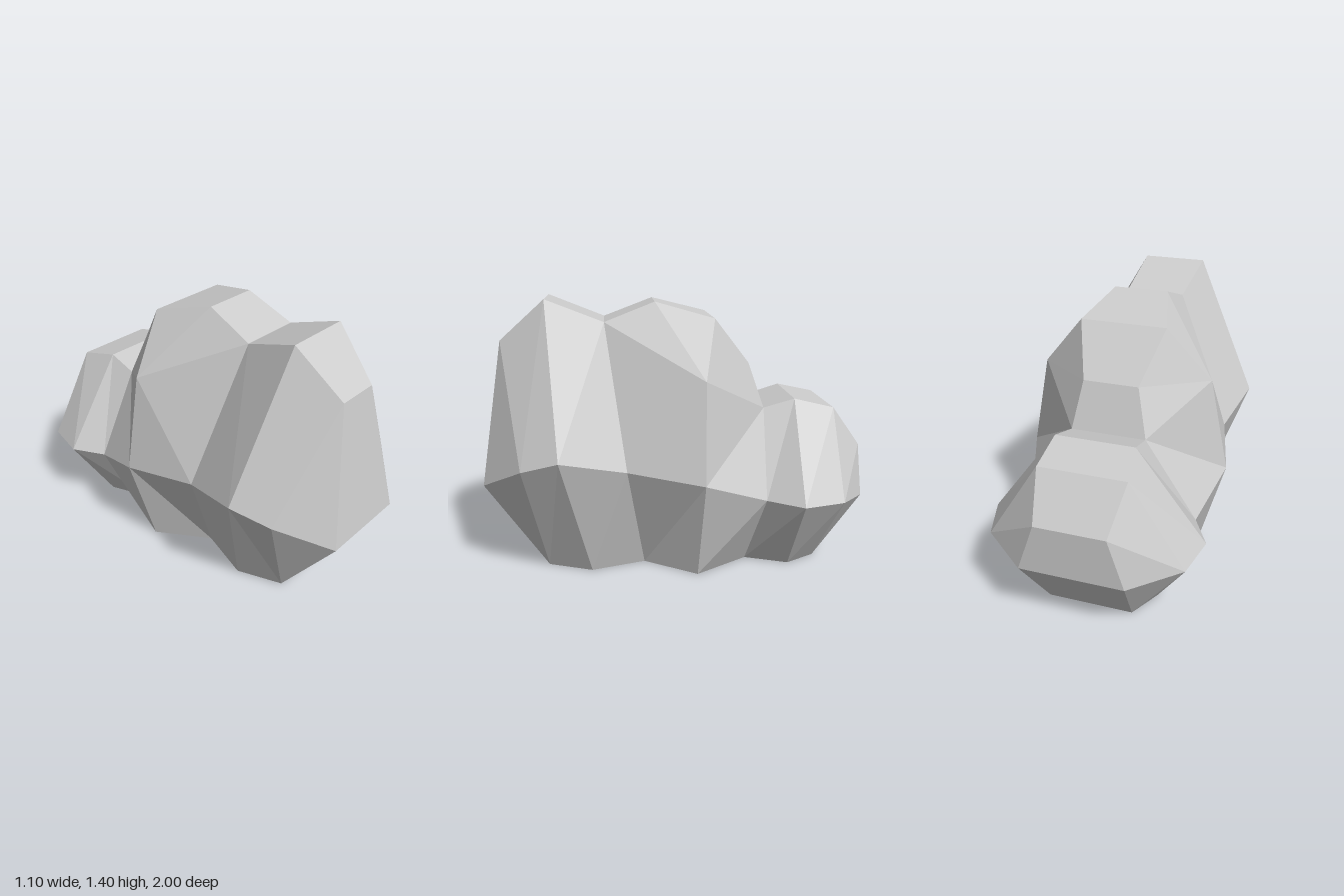
import * as THREE from 'three';

// Half outline of the flat base, front to back: [x, z]
const BASE = [[0.22, 0.68], [0.31, 0.45], [0.225, 0.17], [0.405, -0.1], [0.225, -0.38], [0.31, -0.6], [0.22, -0.76]];

// Widest line of the rock, front to back: [x, y, z, sideways shift]
const MID = [
  [0.235, 0.46, 1, -0.01], [0.46, 0.6, 0.78], [0.545, 0.665, 0.59], [0.445, 0.575, 0.26, -0.015], [0.545, 0.53, -0.12],
  [0.445, 0.405, -0.45, -0.015], [0.55, 0.405, -0.62], [0.49, 0.4, -0.84, -0.01], [0.26, 0.36, -1],
];

// Flat ridge strip along the top: [x, y, z, sideways shift]
const RIDGE = [
  [0.108, 1.19, 0.9, -0.048], [0.167, 1.405, 0.66, -0.042], [0.157, 1.29, 0.36, -0.008], [0.14, 1.39, 0.1, -0.005],
  [0.22, 1.31, -0.2, -0.005], [0.14, 1.07, -0.39], [0.19, 0.835, -0.47, -0.01], [0.2, 0.885, -0.63],
  [0.218, 0.835, -0.84, -0.012], [0.175, 0.62, -1, -0.005],
];

// Corner bulging out on each side of the middle lump
const SHOULDER = [0.445, 1.03, -0.13];

// Cross-sections front to back: [base, mid, ridge, uses shoulder]
const SECTIONS = [
  [0, 0, 0], [0, 1, 0], [1, 2, 1], [2, 3, 2],
  [3, 4, 3, true], [3, 4, 4, true], [3, 4, 5, true],
  [4, 5, 6], [5, 6, 7], [6, 7, 8], [6, 8, 9],
];

// Closed loop of eight points: up the left side, over the ridge, down the right
function makeRing([b, m, r, shoulder]) {
  const half = [[BASE[b][0], 0, BASE[b][1]], MID[m], shoulder ? SHOULDER : RIDGE[r], RIDGE[r]];
  const side = (s) => half.map(([x, y, z, shift = 0]) => new THREE.Vector3(s * x + shift, y, z));
  return [...side(1), ...side(-1).reverse()];
}

function rockGeometry() {
  const rings = SECTIONS.map(makeRing);
  const positions = [];
  const triangle = (a, b, c) => {
    const area = new THREE.Triangle(a, b, c).getArea();
    if (area > 1e-6) for (const p of [a, b, c]) positions.push(p.x, p.y, p.z);
  };
  const quad = (a, b, c, d) => { triangle(a, b, c); triangle(a, c, d); };

  // Skin between neighbouring sections, the two sides split as mirror images
  for (let i = 0; i < rings.length - 1; i++) {
    const p = rings[i], q = rings[i + 1];
    for (let j = 0; j < 8; j++) {
      const k = (j + 1) % 8;
      if (j < 4) quad(p[j], q[j], q[k], p[k]);
      else quad(p[k], p[j], q[j], q[k]);
    }
  }

  // Front and back facets
  const front = rings[0], back = rings[rings.length - 1];
  for (let j = 0; j < 3; j++) {
    quad(front[j], front[j + 1], front[6 - j], front[7 - j]);
    quad(back[7 - j], back[6 - j], back[j + 1], back[j]);
  }

  const geometry = new THREE.BufferGeometry();
  geometry.setAttribute('position', new THREE.Float32BufferAttribute(positions, 3));
  geometry.computeVertexNormals();
  return geometry;
}

export function createModel() {
  const group = new THREE.Group();
  group.name = 'rockFormation';
  const rock = new THREE.Mesh(
    rockGeometry(),
    new THREE.MeshStandardMaterial({ color: 0xcccccc, flatShading: true }),
  );
  rock.name = 'rock';
  group.add(rock);
  return group;
}
